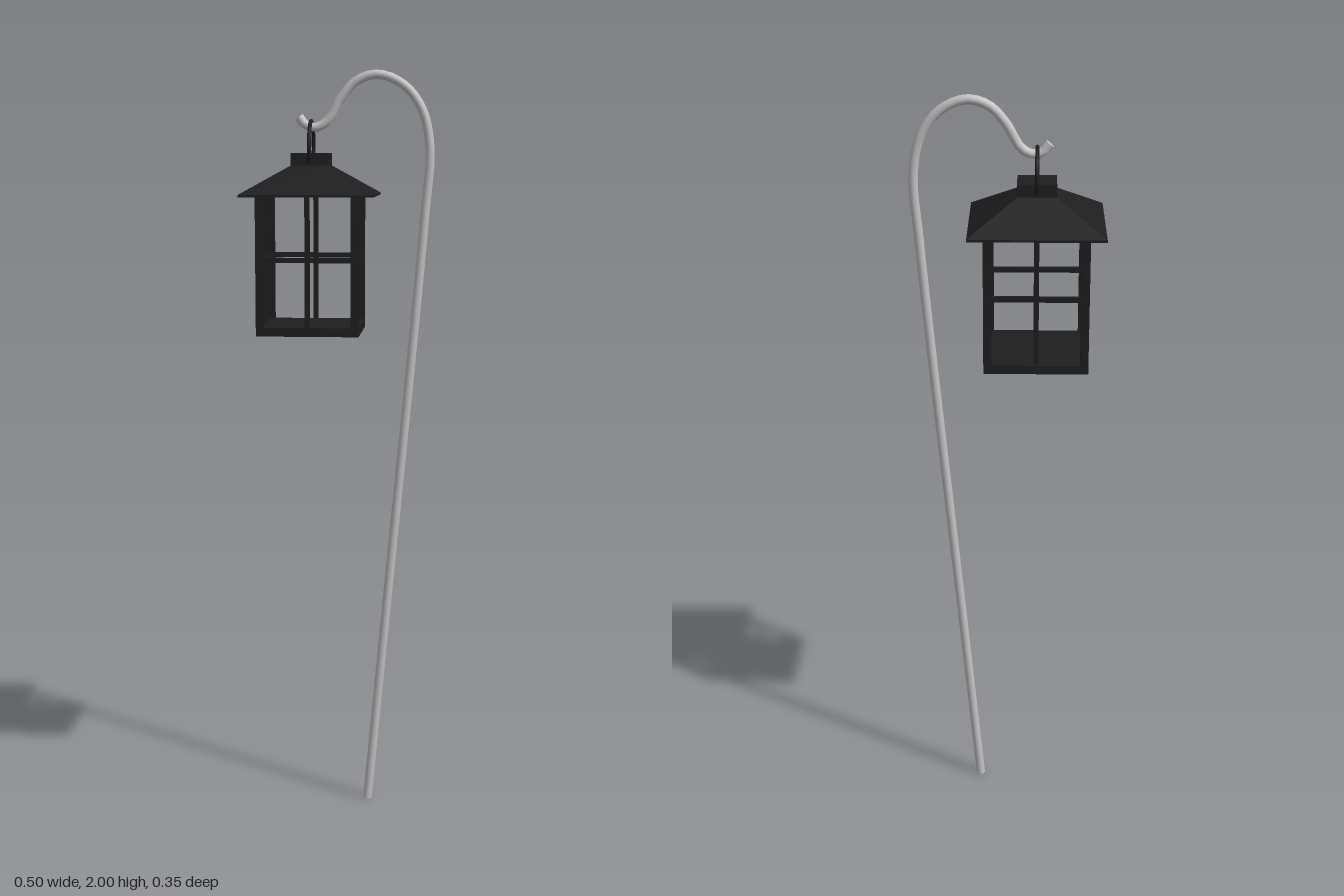
import * as THREE from 'three';

const black = new THREE.MeshStandardMaterial({ color: 0x1e1e1e });
black.name = 'black metal';
const steel = new THREE.MeshStandardMaterial({ color: 0xc2c2c2 });
steel.name = 'pale steel';

function add(parent, name, geometry, material, x = 0, y = 0, z = 0) {
  const mesh = new THREE.Mesh(geometry, material);
  mesh.name = name;
  mesh.position.set(x, y, z);
  parent.add(mesh);
  return mesh;
}

const box = (w, h, d) => new THREE.BoxGeometry(w, h, d);

// Smooth tube through [x, y, z] points, closed by a flat disc at each end
function rod(parent, name, points, radius, segments, sides, material) {
  const curve = new THREE.CatmullRomCurve3(points.map(p => new THREE.Vector3(...p)), false, 'centripetal');
  add(parent, name, new THREE.TubeGeometry(curve, segments, radius, sides), material);
  for (const [t, sign] of [[0, -1], [1, 1]]) {
    const end = curve.getPointAt(t);
    const cap = add(parent, name + 'End', new THREE.CircleGeometry(radius, sides), material, end.x, end.y, end.z);
    cap.quaternion.setFromUnitVectors(new THREE.Vector3(0, 0, 1), curve.getTangentAt(t).multiplyScalar(sign));
  }
}

export function createModel() {
  const model = new THREE.Group();
  model.name = 'hangingLantern';

  // Leaning pole with a crook and an upturned hook tip
  const crook = [
    [0.077, 0], [0.136, 0.65], [0.193, 1.27], [0.223, 1.62], [0.235, 1.8], [0.213, 1.9],
    [0.166, 1.96], [0.1, 1.987], [0.043, 1.971], [0.0, 1.925], [-0.034, 1.868],
    [-0.064, 1.851], [-0.09, 1.857], [-0.108, 1.878],
  ].map(([x, y]) => [x, y, -0.002]);
  rod(model, 'pole', crook, 0.0122, 120, 14, steel);

  const lantern = new THREE.Group();
  lantern.name = 'lantern';
  lantern.position.x = -0.076;
  model.add(lantern);

  // Roof: four-sided frustum on a thin eave, with a square cap
  const roof = new THREE.CylinderGeometry(0.05 * Math.SQRT2, 0.173 * Math.SQRT2, 0.073, 4, 1).toNonIndexed();
  roof.rotateY(Math.PI / 4);
  roof.computeVertexNormals();
  add(lantern, 'roof', roof, black, 0, 1.7165, 0);
  add(lantern, 'eave', box(0.346, 0.006, 0.346), black, 0, 1.677, 0);
  add(lantern, 'roofCap', box(0.1, 0.034, 0.1), black, 0, 1.768, 0);

  // Carrying handle
  const half = [[0.05, 1.762], [0.064, 1.785], [0.064, 1.815], [0.052, 1.842], [0.028, 1.861]];
  const arch = [
    ...half.map(([z, y]) => [0, y, z]), [0, 1.868, 0],
    ...half.slice().reverse().map(([z, y]) => [0, y, -z]),
  ];
  rod(lantern, 'handle', arch, 0.0052, 40, 8, black);

  // Base plate and corner posts
  add(lantern, 'base', box(0.268, 0.023, 0.268), black, 0, 1.3265, 0);
  for (const sx of [-1, 1]) {
    for (const sz of [-1, 1]) {
      add(lantern, 'cornerPost', box(0.021, 0.342, 0.021), black, sx * 0.1235, 1.506, sz * 0.1235);
    }
  }

  // Crossed glazing bars on each of the four sides
  for (let i = 0; i < 4; i++) {
    const side = new THREE.Group();
    side.name = 'windowSide';
    side.rotation.y = i * Math.PI / 2;
    lantern.add(side);
    add(side, 'uprightBar', box(0.013, 0.34, 0.012), black, 0, 1.506, 0.1235);
    add(side, 'crossBar', box(0.23, 0.013, 0.012), black, 0, 1.512, 0.1235);
  }

  return model;
}
